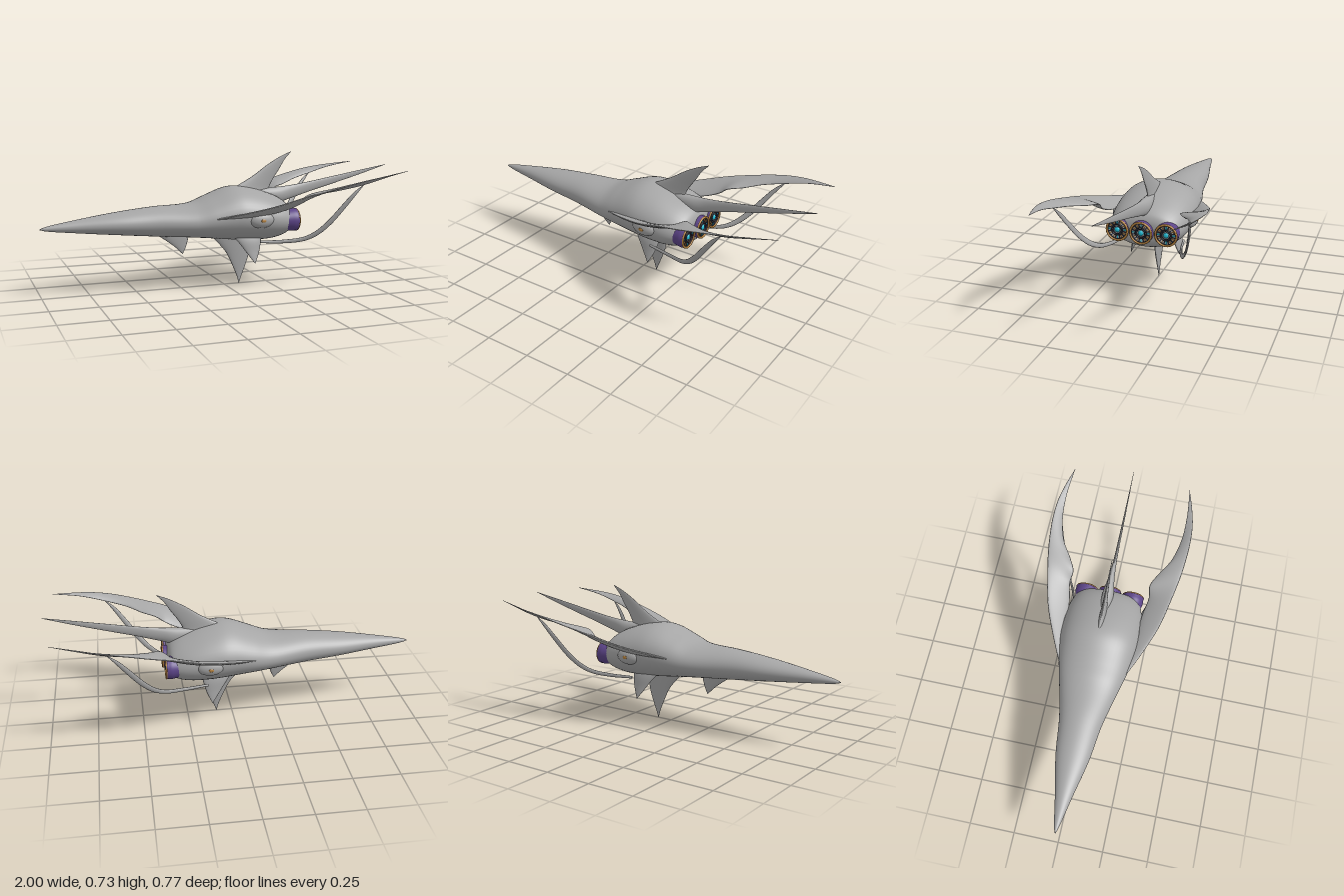
import * as THREE from 'three';

const mat = (name, color) => Object.assign(new THREE.MeshStandardMaterial({ color }), { name });
const V = (x, y, z) => new THREE.Vector3(x, y, z);

// Closed skin over rings of points, turned so that it always faces outward
function loft(rings) {
  const n = rings[0].length, pos = [], idx = [];
  rings.forEach(r => r.forEach(p => pos.push(p.x, p.y, p.z)));
  const all = rings.flat();
  for (let i = 0; i < rings.length - 1; i++) {
    for (let j = 0; j < n; j++) {
      const a = i * n + j, b = i * n + (j + 1) % n;
      idx.push(a, b, a + n, b, b + n, a + n);
    }
  }
  // End caps
  [0, rings.length - 1].forEach((k, end) => {
    const c = rings[k].reduce((s, p) => s.add(p), V(0, 0, 0)).divideScalar(n);
    const ci = pos.length / 3;
    pos.push(c.x, c.y, c.z);
    all.push(c);
    for (let j = 0; j < n; j++) {
      const a = k * n + j, b = k * n + (j + 1) % n;
      if (end) idx.push(a, b, ci); else idx.push(b, a, ci);
    }
  });
  let vol = 0;
  for (let i = 0; i < idx.length; i += 3) {
    vol += all[idx[i]].dot(V(0, 0, 0).crossVectors(all[idx[i + 1]], all[idx[i + 2]]));
  }
  if (vol < 0) idx.reverse();
  const g = new THREE.BufferGeometry();
  g.setAttribute('position', new THREE.Float32BufferAttribute(pos, 3));
  g.setIndex(idx);
  g.computeVertexNormals();
  return g;
}

// Lens-shaped blade through chords [edge A xyz, edge B xyz, half thickness]
function blade(sections, steps = 36, sides = 20) {
  const curve = f => new THREE.CatmullRomCurve3(sections.map(f));
  const ca = curve(s => V(s[0], s[1], s[2])), cb = curve(s => V(s[3], s[4], s[5]));
  const ct = curve((s, i) => V(s[6], i, 0));
  const mid = u => ca.getPoint(u).add(cb.getPoint(u)).multiplyScalar(0.5);
  const rings = [];
  for (let i = 0; i <= steps; i++) {
    const u = i / steps, c = mid(u);
    const half = ca.getPoint(u).sub(cb.getPoint(u)).multiplyScalar(0.5);
    const along = mid(Math.min(1, u + 0.02)).sub(mid(Math.max(0, u - 0.02)));
    const normal = half.clone().cross(along).normalize().multiplyScalar(Math.max(0.0006, ct.getPoint(u).x));
    rings.push(Array.from({ length: sides }, (_, j) => {
      const t = j / sides * Math.PI * 2;
      return c.clone().addScaledVector(half, Math.cos(t)).addScaledVector(normal, Math.sin(t));
    }));
  }
  return loft(rings);
}

// Blade lying in the middle plane: [ax, ay, bx, by, half thickness]
const flat = list => blade(list.map(([ax, ay, bx, by, t]) => [ax, ay, 0, bx, by, 0, t]));

export function createModel() {
  const root = new THREE.Group();
  root.name = 'spaceship';
  const hull = mat('hull grey', 0xa6a6a6), purple = mat('engine purple', 0x5c4488);
  const gold = mat('gold', 0xb5823f), dark = mat('dark metal', 0x2c2c38);
  const cyan = mat('glow cyan', 0x22bfd8), pale = mat('pale metal', 0xc4c6cc);
  const add = (name, geo, m, parent = root) => {
    const mesh = new THREE.Mesh(geo, m);
    mesh.name = name;
    parent.add(mesh);
    return mesh;
  };

  // Hull stations: x, top, bottom, half width
  const stations = [
    [-1, 0.367, 0.363, 0.002], [-0.97, 0.377, 0.355, 0.012], [-0.8, 0.407, 0.335, 0.047], [-0.6, 0.435, 0.315, 0.09],
    [-0.4, 0.455, 0.296, 0.117], [-0.2, 0.466, 0.28, 0.163], [-0.1, 0.502, 0.27, 0.188],
    [0, 0.54, 0.258, 0.206], [0.06, 0.548, 0.252, 0.214], [0.15, 0.535, 0.247, 0.215],
    [0.24, 0.508, 0.25, 0.207], [0.3, 0.483, 0.262, 0.19], [0.335, 0.458, 0.28, 0.172],
    [0.352, 0.43, 0.3, 0.14], [0.358, 0.39, 0.34, 0.07]];
  const top = new THREE.CatmullRomCurve3(stations.map(s => V(s[0], s[1], s[3])));
  const low = new THREE.CatmullRomCurve3(stations.map(s => V(s[0], s[2], s[3])));
  const rings = [];
  for (let i = 0; i <= 84; i++) {
    const p = top.getPoint(i / 84), q = low.getPoint(i / 84);
    const yc = q.y + (p.y - q.y) * 0.48;
    rings.push(Array.from({ length: 48 }, (_, j) => {
      const t = j / 48 * Math.PI * 2, s = Math.sin(t);
      return V(p.x, yc + s * (s > 0 ? p.y - yc : yc - q.y), Math.cos(t) * p.z);
    }));
  }
  add('hull', loft(rings), hull);

  // Middle fins and tail spike
  add('dorsalFin', flat([
    [0.02, 0.52, 0.3, 0.47, 0.022], [0.085, 0.553, 0.265, 0.52, 0.015], [0.17, 0.6, 0.285, 0.57, 0.01],
    [0.255, 0.658, 0.325, 0.63, 0.006], [0.33, 0.7, 0.36, 0.685, 0.003], [0.397, 0.728, 0.398, 0.726, 0.001]]), hull);
  add('tailSpike', flat([
    [0.1, 0.525, 0.1, 0.5, 0.006], [0.2, 0.527, 0.2, 0.465, 0.024], [0.3, 0.531, 0.31, 0.443, 0.031],
    [0.39, 0.538, 0.4, 0.465, 0.017], [0.5, 0.553, 0.51, 0.497, 0.009], [0.65, 0.578, 0.66, 0.537, 0.006],
    [0.84, 0.61, 0.845, 0.588, 0.003], [0.998, 0.636, 0.998, 0.634, 0.001]]), hull);
  add('ventralFin', flat([
    [-0.09, 0.29, 0.17, 0.29, 0.022], [-0.045, 0.245, 0.155, 0.235, 0.018], [0.01, 0.18, 0.145, 0.16, 0.013],
    [0.05, 0.1, 0.122, 0.09, 0.008], [0.075, 0.04, 0.1, 0.035, 0.004], [0.086, 0, 0.088, 0, 0.001]]), hull);
  add('chinFin', flat([
    [-0.4, 0.31, -0.2, 0.31, 0.016], [-0.345, 0.275, -0.208, 0.27, 0.012],
    [-0.285, 0.23, -0.222, 0.222, 0.007], [-0.241, 0.188, -0.239, 0.187, 0.001]]), hull);

  // Paired parts
  for (const s of [1, -1]) {
    const side = s > 0 ? 'front' : 'back';
    const mirror = list => list.map(([ax, ay, az, bx, by, bz, t]) => [ax, ay, az * s, bx, by, bz * s, t]);
    add(side + 'Wing', blade(mirror([
      [-0.12, 0.393, 0.178, -0.08, 0.4, 0.17, 0.004], [0.02, 0.425, 0.245, 0.1, 0.405, 0.195, 0.01],
      [0.18, 0.467, 0.31, 0.25, 0.425, 0.205, 0.011], [0.33, 0.513, 0.346, 0.34, 0.46, 0.222, 0.01],
      [0.45, 0.543, 0.369, 0.395, 0.503, 0.214, 0.008], [0.55, 0.568, 0.381, 0.465, 0.517, 0.248, 0.007],
      [0.65, 0.59, 0.386, 0.55, 0.537, 0.302, 0.006], [0.75, 0.606, 0.38, 0.67, 0.565, 0.335, 0.005],
      [0.85, 0.618, 0.358, 0.8, 0.6, 0.34, 0.003], [0.955, 0.63, 0.325, 0.95, 0.628, 0.326, 0.001]]), 60), hull);
    add(side + 'LowerFin', blade(mirror([
      [0, 0.3, 0.09, 0.18, 0.3, 0.09, 0.024], [0.04, 0.255, 0.113, 0.172, 0.255, 0.113, 0.018],
      [0.08, 0.2, 0.13, 0.155, 0.195, 0.13, 0.01], [0.124, 0.138, 0.149, 0.127, 0.137, 0.149, 0.001]])), hull);

    // Tendril: path point and half width, widened across the side plane
    const path = [[0.15, 0.257, 0.16, 0.007], [0.28, 0.256, 0.185, 0.01], [0.38, 0.27, 0.22, 0.012],
      [0.44, 0.302, 0.25, 0.014], [0.5, 0.36, 0.28, 0.015], [0.57, 0.45, 0.311, 0.014],
      [0.625, 0.52, 0.331, 0.01], [0.675, 0.57, 0.342, 0.001]];
    add(side + 'Tendril', blade(mirror(path.map(([x, y, z, w], i) => {
      const p = path[Math.max(0, i - 1)], q = path[Math.min(path.length - 1, i + 1)];
      const d = Math.hypot(q[0] - p[0], q[1] - p[1]);
      const dx = -(q[1] - p[1]) / d * w, dy = (q[0] - p[0]) / d * w;
      return [x + dx, y + dy, z, x - dx, y - dy, z, Math.min(w, 0.006)];
    })), 48, 14), hull);

    // Side pod with a small gold lens
    const pod = add(side + 'Pod', new THREE.SphereGeometry(1, 32, 20), hull);
    pod.scale.set(0.07, 0.043, 0.034);
    pod.position.set(0.14, 0.383, 0.201 * s);
    const lens = add(side + 'PodLens', new THREE.SphereGeometry(1, 16, 12), gold);
    lens.scale.set(0.014, 0.009, 0.004);
    lens.position.set(0.14, 0.383, 0.234 * s);
  }

  // Engines, built facing local +z and then turned to the rear
  const disc = (r, h, z) => new THREE.CylinderGeometry(r, r, h, 40).rotateX(Math.PI / 2).translate(0, 0, z);
  const ring = (R, t, z) => new THREE.TorusGeometry(R, t, 10, 40).translate(0, 0, z);
  for (const k of [-1, 0, 1]) {
    const e = new THREE.Group();
    e.name = k ? (k > 0 ? 'frontEngine' : 'backEngine') : 'middleEngine';
    e.position.set(k ? 0.367 : 0.376, 0.365, k * 0.132);
    e.rotation.y = Math.PI / 2;
    root.add(e);
    const shell = [[0.05, -0.09], [0.061, -0.03], [0.062, -0.015], [0.059, -0.008], [0.062, 0], [0.055, 0.004], [0.051, -0.008]];
    add('engineShell', new THREE.LatheGeometry(shell.map(p => new THREE.Vector2(...p)), 48).rotateX(Math.PI / 2), purple, e);
    add('engineBack', disc(0.053, 0.01, -0.012), pale, e);
    add('outerRing', ring(0.0565, 0.0055, 0.003), gold, e);
    add('rimLine', ring(0.05, 0.0022, 0), dark, e);
    add('middleRing', ring(0.029, 0.004, 0), dark, e);
    add('innerRing', ring(0.0215, 0.0025, 0.001), dark, e);
    add('core', new THREE.SphereGeometry(0.0145, 24, 16).scale(1, 1, 0.6), cyan, e);
    for (let i = 0; i < 24; i++) {
      const m = i % 6 === 0 ? cyan : i % 2 ? dark : gold;
      add('vane', new THREE.BoxGeometry(0.017, 0.0045, 0.006).translate(0.0405, 0, -0.004), m, e).rotation.z = i * Math.PI / 12;
    }
  }
  return root;
}
